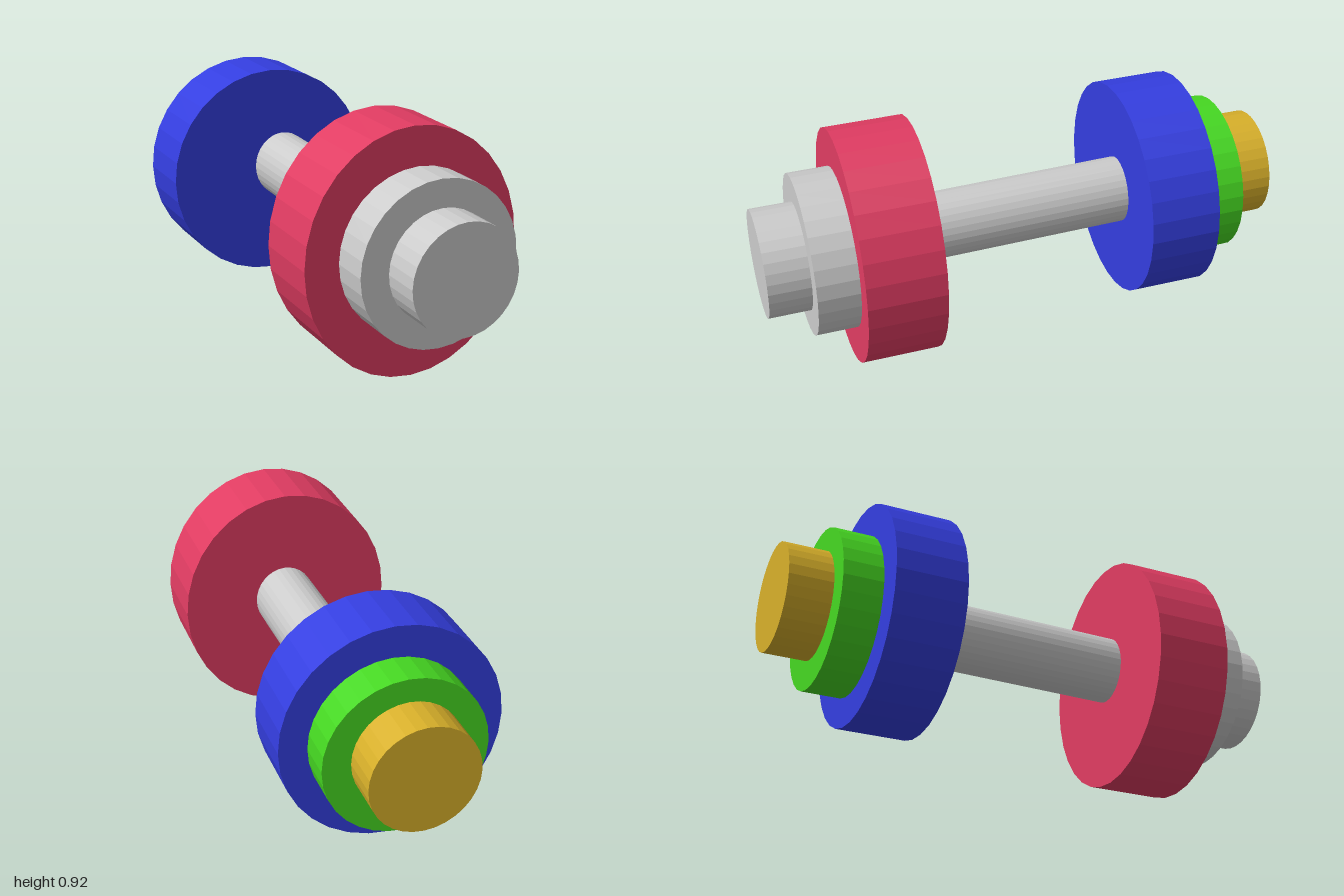
import * as THREE from 'three';

const GREY = 0xcccccc;

// Disc lying along z, with its own x and y radii
function disc(name, color, [x, y], [rx, ry], z0, z1, tilt = 0) {
  const geometry = new THREE.CylinderGeometry(1, 1, z1 - z0, 32);
  geometry.scale(rx, 1, ry);
  geometry.rotateX(Math.PI / 2 + tilt);
  const material = new THREE.MeshStandardMaterial({ color, flatShading: true });
  const mesh = new THREE.Mesh(geometry, material);
  mesh.name = name;
  mesh.position.set(x, y, (z0 + z1) / 2);
  return mesh;
}

export function createModel() {
  const group = new THREE.Group();
  group.name = 'dumbbell';
  group.add(
    // Slightly tilted handle, its ends just inside the large plates
    disc('handle', GREY, [0.028, 0.482], [0.119, 0.131], -0.43, 0.405, 0.015),
    // Front stack
    disc('frontLargePlate', 0xe03c62, [0.021, 0.459], [0.415, 0.459], 0.39, 0.685),
    disc('frontSmallPlate', GREY, [0.038, 0.468], [0.303, 0.305], 0.685, 0.842),
    disc('frontEndCap', GREY, [0.044, 0.466], [0.203, 0.204], 0.842, 1),
    // Back stack
    disc('backLargePlate', 0x343ee0, [-0.024, 0.464], [0.415, 0.42], -0.685, -0.415),
    disc('backSmallPlate', 0x46d822, [-0.017, 0.462], [0.303, 0.303], -0.835, -0.685),
    disc('backEndCap', 0xd8b02a, [-0.02, 0.473], [0.202, 0.204], -1, -0.835),
  );
  return group;
}
